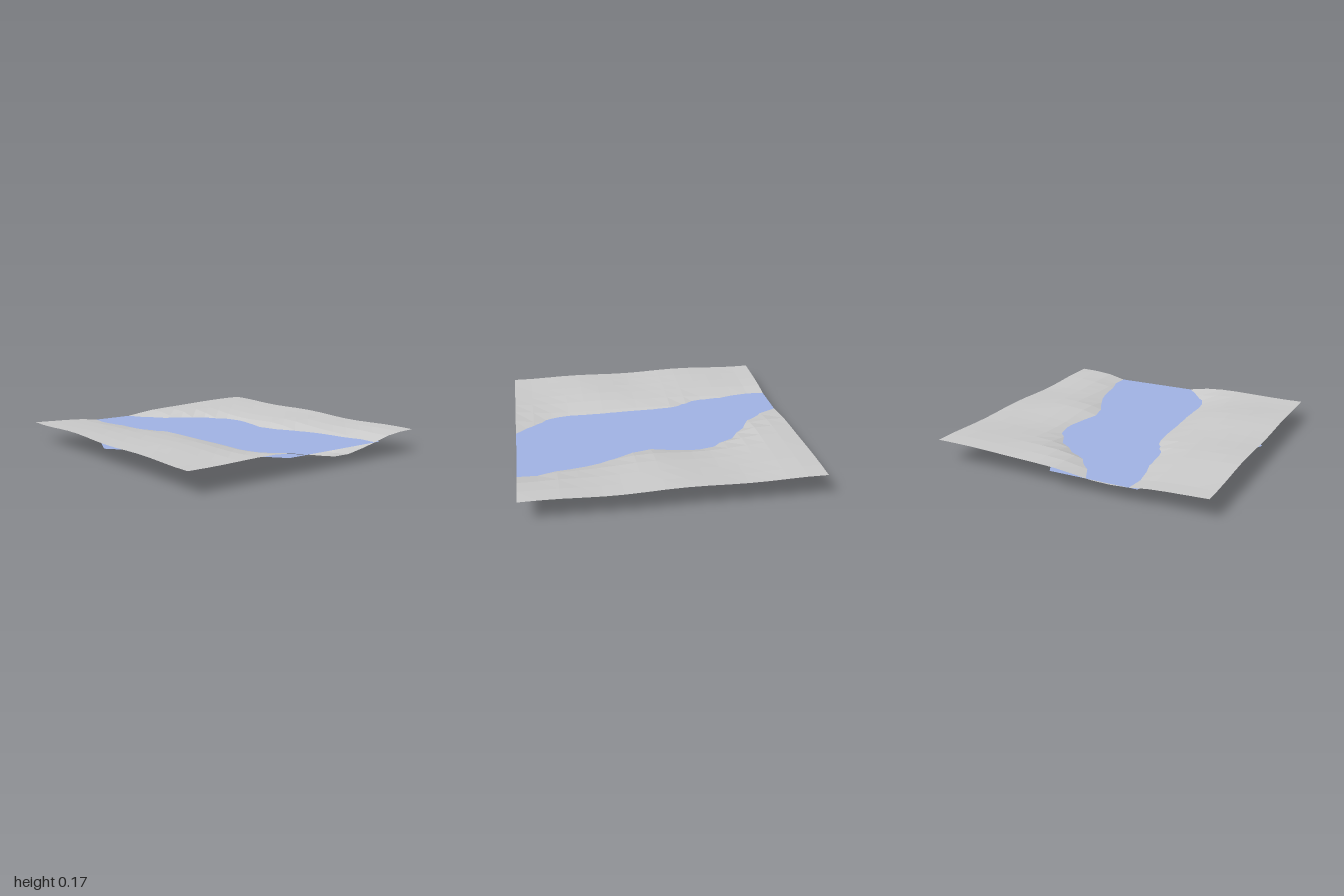
import * as THREE from 'three';

const WATER = 0.115;
const CELLS = 15;

// River sections from the back (z = -1) to the front (z = 1), evenly spaced
const bankA = [-.48, -.5, -.47, -.44, -.43, -.38, -.31, -.285, -.28, -.29, -.29, -.29, -.29, -.29, -.25, -.15, -.05];
const bankB = [-.13, -.09, .0, .17, .3, .37, .4, .385, .36, .34, .41, .48, .52, .55, .57, .61, .6];
const bed = [.107, .098, .085, .06, .02, .008, 0, .003, .01, .022, .035, .035, .033, .03, .032, .045, .065];

function sample(list, z) {
  const f = (z + 1) / 2 * (list.length - 1);
  const i = Math.max(0, Math.min(list.length - 2, Math.floor(f)));
  return THREE.MathUtils.lerp(list[i], list[i + 1], f - i);
}

// Ground height: a rounded channel between the banks, easing out to rolling land
function groundHeight(x, z) {
  const a = sample(bankA, z), b = sample(bankB, z), low = sample(bed, z);
  const half = (b - a) / 2;
  const t = Math.abs(x - (a + b) / 2) / half;
  if (t < 1) {
    const s = Math.sin(t * 1.2) / Math.sin(1.2);
    return low + (WATER - low) * s * s;
  }
  const land = 0.16 + 0.006 * Math.sin(z * 7 + x * 2) + 0.004 * Math.sin(x * 6 - z * 3) + 0.004 * x;
  return WATER + (land - WATER) * (1 - Math.exp(-(t - 1) * half / 0.17));
}

export function createModel() {
  const group = new THREE.Group();

  // Faceted land sheet
  const land = new THREE.PlaneGeometry(2, 2, CELLS, CELLS).rotateX(-Math.PI / 2);
  const p = land.attributes.position;
  for (let i = 0; i < p.count; i++) p.setY(i, groundHeight(p.getX(i), p.getZ(i)));
  land.computeVertexNormals();
  const terrain = new THREE.Mesh(land, new THREE.MeshStandardMaterial({
    color: 0xcccccc, flatShading: true, side: THREE.DoubleSide,
  }));
  terrain.name = 'terrain';

  // Flat six-sided water sheet that cuts through the land (shape y becomes -z)
  const outline = [[.1, -1], [-.53, -1], [-.99, .03], [-.21, 1], [.65, 1], [.62, .02]];
  const shape = new THREE.Shape(outline.map(([x, z]) => new THREE.Vector2(x, -z)));
  const sheet = new THREE.ShapeGeometry(shape).rotateX(-Math.PI / 2).translate(0, WATER, 0);
  const water = new THREE.Mesh(sheet, new THREE.MeshStandardMaterial({
    color: 0xa1b4e5, side: THREE.DoubleSide,
  }));
  water.name = 'riverWater';

  group.add(terrain, water);
  return group;
}
